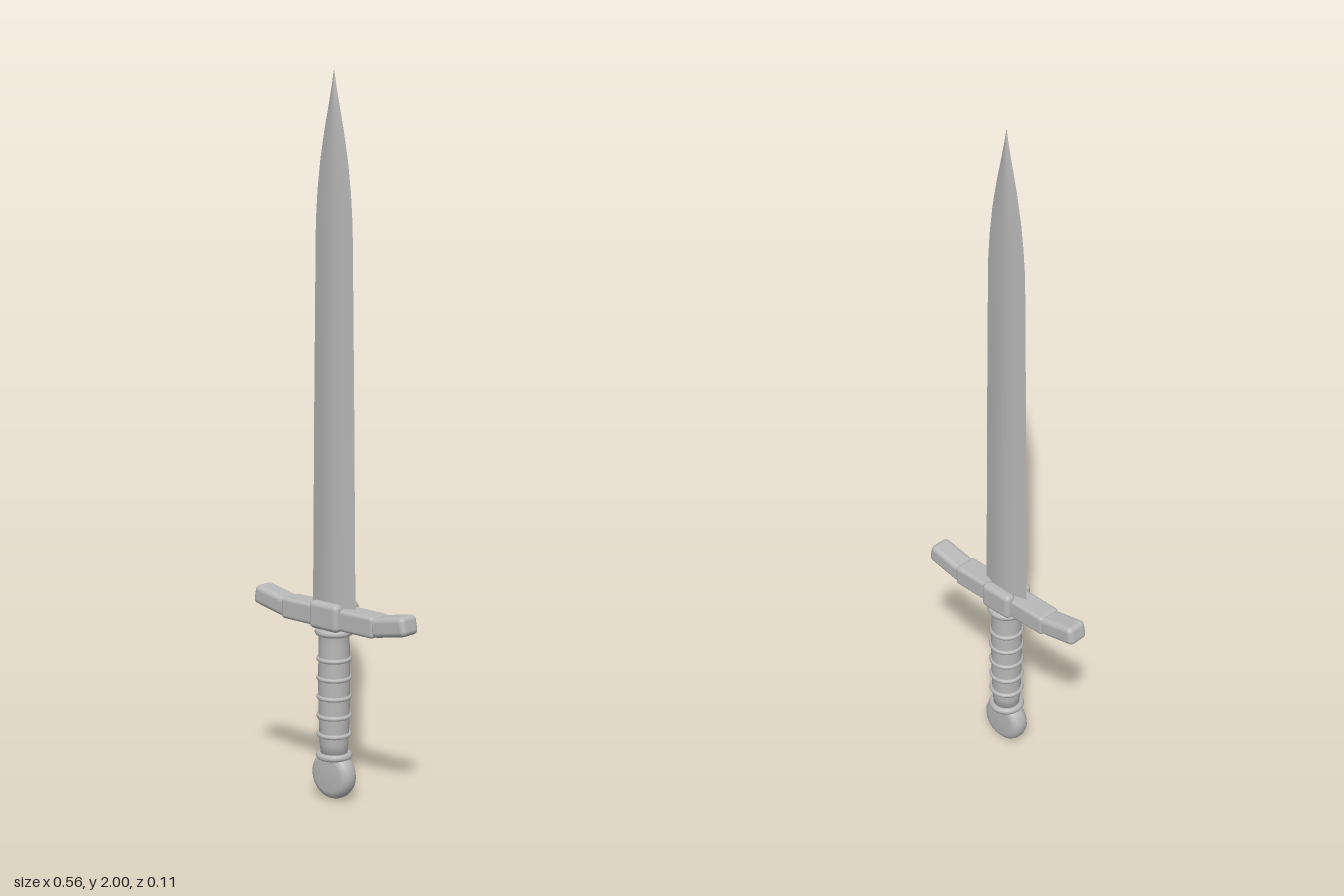
import * as THREE from 'three';
import { RoundedBoxGeometry } from 'three/addons/geometries/RoundedBoxGeometry.js';

const steel = new THREE.MeshStandardMaterial({ color: 0xb8b8b8 });
steel.name = 'steel grey';

function add(group, name, geometry, x = 0, y = 0, z = 0) {
  const mesh = new THREE.Mesh(geometry, steel);
  mesh.name = name;
  mesh.position.set(x, y, z);
  group.add(mesh);
  return mesh;
}

// One smooth side of the blade: lens-shaped sections stacked along y.
function bladeSide(side) {
  // height, half width, half thickness
  const rows = [
    [0.5, 0.079, 0.017], [0.8, 0.076, 0.0155], [1.1, 0.073, 0.014], [1.4, 0.069, 0.0125],
    [1.52, 0.0675, 0.011], [1.6, 0.066, 0.0105], [1.68, 0.06, 0.01], [1.76, 0.05, 0.009],
    [1.84, 0.035, 0.008], [1.91, 0.019, 0.006], [1.96, 0.008, 0.004], [2, 0.0005, 0.0005],
  ];
  const section = [[1, 0], [0.55, 0.65], [0.2, 0.97], [0, 1], [-0.2, 0.97], [-0.55, 0.65], [-1, 0]];
  const n = section.length, positions = [], index = [];
  for (const [y, w, t] of rows)
    for (const [u, v] of section) positions.push(side * u * w, y, side * v * t);
  for (let r = 0; r < rows.length - 1; r++)
    for (let i = 0; i < n - 1; i++) {
      const a = r * n + i, b = a + 1, c = a + n, d = c + 1;
      index.push(a, c, b, b, c, d);
    }
  const g = new THREE.BufferGeometry();
  g.setAttribute('position', new THREE.Float32BufferAttribute(positions, 3));
  g.setIndex(index);
  g.computeVertexNormals();
  return g;
}

const lathe = (points, segments) =>
  new THREE.LatheGeometry(points.map(([r, y]) => new THREE.Vector2(r, y)), segments);

export function createModel() {
  const model = new THREE.Group();
  model.name = 'sword';

  // Blade
  const blade = new THREE.Group();
  blade.name = 'blade';
  add(blade, 'bladeFront', bladeSide(1));
  add(blade, 'bladeBack', bladeSide(-1));
  model.add(blade);

  // Crossguard: straight inner arms, upturned outer arms, two cheek blocks
  const guard = new THREE.Group();
  guard.name = 'crossguard';
  add(guard, 'guardBar', new RoundedBoxGeometry(0.338, 0.06, 0.07, 3, 0.01), 0, 0.52, 0);
  for (const s of [-1, 1]) {
    const tip = add(guard, s > 0 ? 'leftGuardTip' : 'rightGuardTip',
      new RoundedBoxGeometry(0.122, 0.055, 0.065, 4, 0.015), s * 0.217, 0.53, 0);
    tip.rotation.z = s * 0.2;
    add(guard, s > 0 ? 'frontCheek' : 'backCheek',
      new RoundedBoxGeometry(0.105, 0.078, 0.036, 4, 0.015), 0, 0.525, s * 0.032);
  }
  model.add(guard);

  // Grip with a flared collar and raised rings
  const grip = new THREE.Group();
  grip.name = 'grip';
  add(grip, 'gripCore', lathe([
    [0, 0.115], [0.036, 0.115], [0.04, 0.16], [0.043, 0.24], [0.044, 0.34], [0.043, 0.44],
    [0.042, 0.47], [0.046, 0.5], [0, 0.5],
  ], 24));
  for (const y of [0.185, 0.238, 0.292, 0.346, 0.4]) {
    const ring = add(grip, 'gripRing', new THREE.TorusGeometry(0.043, 0.0065, 8, 24), 0, y, 0);
    ring.rotation.x = Math.PI / 2;
  }
  for (const [y, r] of [[0.124, 0.041], [0.477, 0.044]]) {
    const collar = add(grip, 'gripCollar', new THREE.TorusGeometry(r, 0.01, 8, 24), 0, y, 0);
    collar.rotation.x = Math.PI / 2;
  }
  model.add(grip);

  // Disc pommel with rounded rim, facing front and back
  const pommel = add(model, 'pommel', lathe([
    [0, -0.03], [0.045, -0.029], [0.056, -0.026], [0.064, -0.019], [0.0685, -0.008],
    [0.0685, 0.008], [0.064, 0.019], [0.056, 0.026], [0.045, 0.029], [0, 0.03],
  ], 40), 0, 0.0685, 0);
  pommel.rotation.x = Math.PI / 2;

  return model;
}
